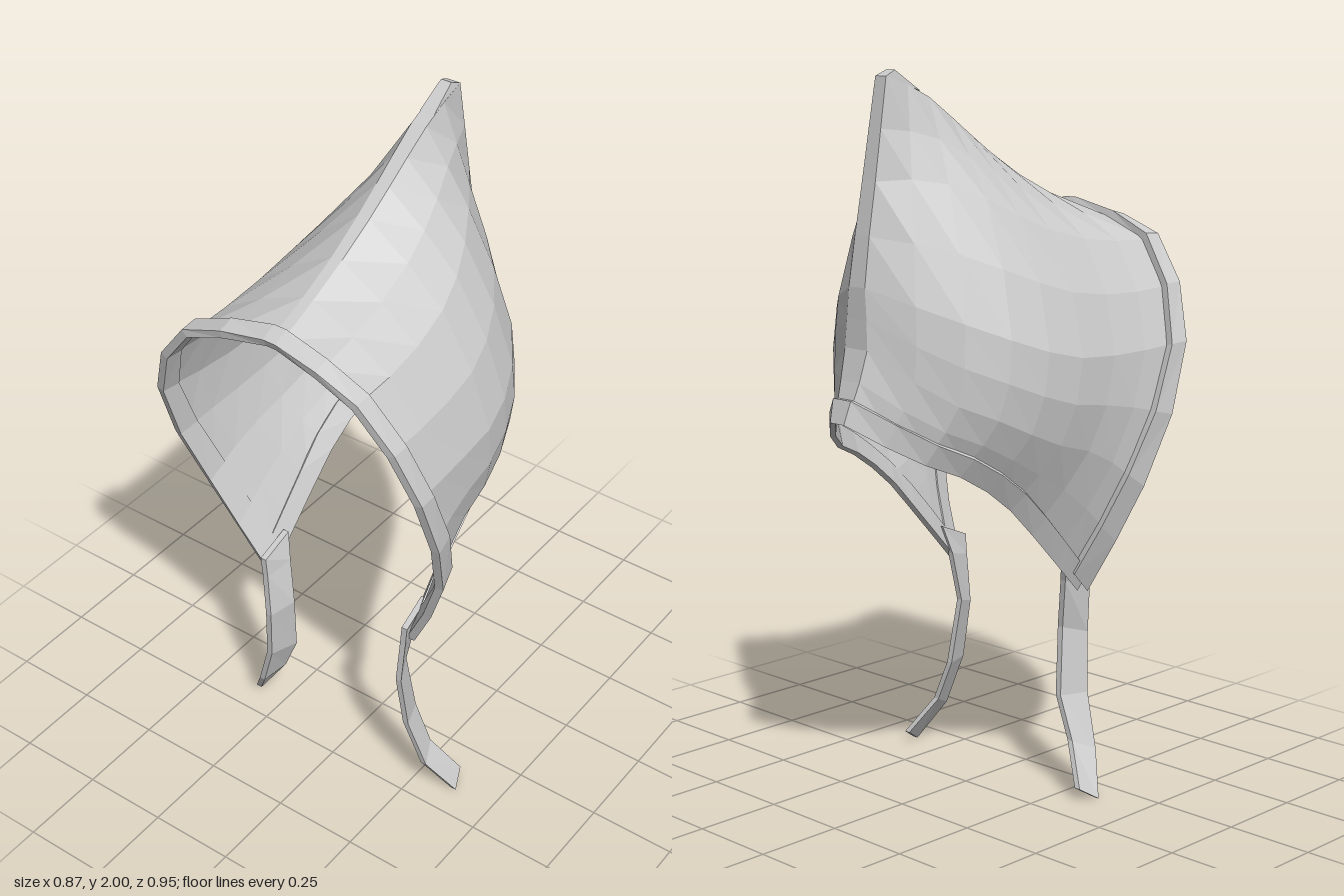
import * as THREE from 'three';

const V = (x, y, z) => new THREE.Vector3(x, y, z);
const mirror = p => V(-p.x, p.y, p.z);
const mat = new THREE.MeshStandardMaterial({ color: 0xcccccc, flatShading: true, side: THREE.DoubleSide });

// Half-hood ribs from the face opening to the back seam; each runs from the ridge down to the neck edge
const ribs = [
  [[.015, 1.605, .435], [.26, 1.53, .45], [.405, 1.26, .395], [.378, .90, .265], [.245, .60, .20]],
  [[.015, 1.685, .24], [.255, 1.54, .25], [.388, 1.25, .22], [.355, .98, .15], [.24, .75, .06]],
  [[.018, 1.785, .06], [.235, 1.59, .05], [.375, 1.26, .03], [.34, 1.03, -.01], [.235, .88, -.07]],
  [[.02, 1.865, -.06], [.19, 1.66, -.09], [.325, 1.31, -.13], [.305, 1.10, -.16], [.215, .97, -.20]],
  [[.022, 1.945, -.19], [.11, 1.72, -.23], [.21, 1.38, -.285], [.21, 1.17, -.30], [.15, 1.035, -.34]],
  [[.02, 1.985, -.31], [.025, 1.72, -.355], [.03, 1.45, -.40], [.042, 1.29, -.405], [.025, 1.125, -.455]],
].map(r => new THREE.CatmullRomCurve3(r.map(p => V(...p))));

// Point on the left half: s from ridge to neck, t from face to seam
const surf = (s, t) => new THREE.CatmullRomCurve3(ribs.map(r => r.getPoint(s))).getPoint(t);

// Outward normal, downward and backward directions at a surface point
function frame(s, t) {
  const e = .03, s0 = Math.max(0, s - e), s1 = Math.min(1, s + e);
  const t0 = Math.max(0, t - e), t1 = Math.min(1, t + e);
  const down = surf(s1, t).sub(surf(s0, t)).normalize();
  const back = surf(s, t1).sub(surf(s, t0)).normalize();
  return { down, back, n: down.clone().cross(back).normalize() };
}

// Skin a list of equal-length sections; closed sections also get end caps
function loft(name, sections, closed) {
  const n = sections[0].length, idx = [], pos = sections.flat().flatMap(p => [p.x, p.y, p.z]);
  const last = (sections.length - 1) * n;
  for (let j = 0; j < sections.length - 1; j++)
    for (let i = 0; i < (closed ? n : n - 1); i++) {
      const a = j * n + i, b = j * n + (i + 1) % n;
      idx.push(a, b, b + n, a, b + n, a + n);
    }
  if (closed) for (let i = 1; i < n - 1; i++) idx.push(0, i + 1, i, last, last + i, last + i + 1);
  const g = new THREE.BufferGeometry();
  g.setAttribute('position', new THREE.Float32BufferAttribute(pos, 3));
  g.setIndex(idx);
  g.computeVertexNormals();
  const mesh = new THREE.Mesh(g, mat);
  mesh.name = name;
  return mesh;
}

// Rectangular trim section: edge point pushed out by "reach", inner edge back by "width"
function trim(p, out, n, reach, width, outer, inner) {
  const edge = p.clone().addScaledVector(out, reach), root = p.clone().addScaledVector(out, -width);
  return [
    root.clone().addScaledVector(n, outer), edge.clone().addScaledVector(n, outer * .9),
    edge.clone().addScaledVector(n, -inner), root.clone().addScaledVector(n, -inner),
  ];
}

const mirrored = list => list.map(sec => sec.map(mirror)).reverse();

export function createModel() {
  const group = new THREE.Group();
  group.name = 'bonnet';

  // Hood: both halves joined along the ridge, closed by a narrow strip at the back
  const S = 8, T = 8, shell = [];
  for (let j = 0; j <= T; j++) {
    const left = [];
    for (let i = 0; i <= S; i++) left.push(surf(i / S, j / T));
    shell.push([...left.map(mirror).reverse(), ...left]);
  }
  group.add(loft('hood', shell, false));
  const seam = [];
  for (let i = 0; i <= S; i++) {
    const p = surf(i / S, 1);
    seam.push([p, mirror(p)]);
  }
  group.add(loft('backSeam', seam, false));

  // Small peak at the tip
  const peak = [V(.022, 1.945, -.19), V(.016, 2, -.275), V(.02, 1.985, -.31)];
  group.add(loft('peak', [peak, peak.map(mirror)], true));

  // Folded band around the face opening, widening toward the lower corners
  const face = [];
  for (let i = 0; i <= S; i++) {
    const s = i / S, { back, n } = frame(s, 0);
    face.push(trim(surf(s, 0), back.negate(), n, .03, .02 + .03 * s * s, .022, .004));
  }
  group.add(loft('faceBand', [...mirrored(face), ...face], true));

  // Band along the neck edge
  const neck = [];
  for (let j = 0; j <= T; j++) {
    const { down, n } = frame(1, j / T);
    if (j === T) n.lerp(V(0, 0, -1), .6).normalize();
    neck.push(trim(surf(1, j / T), down, n, .025, .04, .014, .003));
  }
  group.add(loft('neckBand', [...neck, ...mirrored(neck)], true));

  // Tie straps: x, then front edge (y, z), rear edge (y, z) and inward twist of the rear edge
  const path = [
    [.245, .64, .25, .68, .15, .005], [.24, .58, .25, .60, .17, .02], [.23, .44, .255, .46, .185, .032],
    [.245, .27, .24, .27, .16, .03], [.295, .12, .22, .15, .155, .03], [.36, .005, .16, .04, .105, .022],
  ];
  for (const side of [1, -1]) {
    const sections = path.map(([x, y1, z1, y2, z2, twist]) => {
      const h = .009, front = side * x + .01, rear = side * (x - twist) + .01;
      return [V(front + h, y1, z1), V(rear + h, y2, z2), V(rear - h, y2, z2), V(front - h, y1, z1)];
    });
    group.add(loft(side > 0 ? 'leftStrap' : 'rightStrap', sections, true));
  }

  return group;
}
